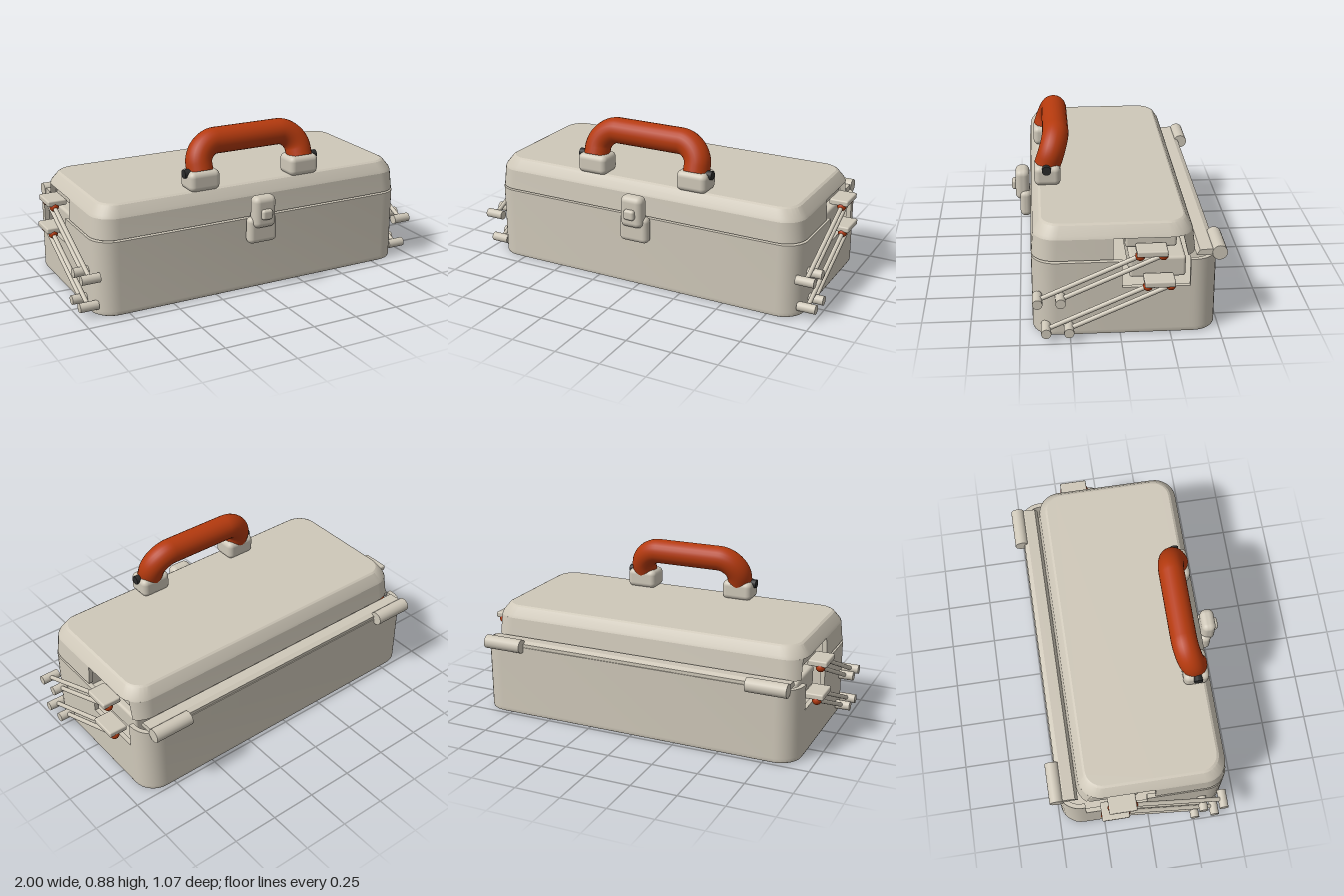
import * as THREE from 'three';
import { toCreasedNormals } from 'three/addons/utils/BufferGeometryUtils.js';
import { RoundedBoxGeometry } from 'three/addons/geometries/RoundedBoxGeometry.js';

const paint = (name, color) => {
  const m = new THREE.MeshStandardMaterial({ color });
  m.name = name;
  return m;
};

// Corner arcs (x, z) running from the +x side round one end to the -x side; dir +1 is the front end
function endArc(hx, z, r, cut, dir, n = 8) {
  const a0 = Math.asin(THREE.MathUtils.clamp((dir * (cut - z) + r) / r, 0, 1));
  const half = [new THREE.Vector2(hx - r + r * Math.cos(a0), cut)];
  for (let i = 0; i <= n; i++) {
    const a = a0 + (Math.PI / 2 - a0) * i / n;
    half.push(new THREE.Vector2(hx - r + r * Math.cos(a), z - dir * r + dir * r * Math.sin(a)));
  }
  return [...half, ...half.map(p => new THREE.Vector2(-p.x, p.y)).reverse()];
}

// U-shaped wall section around one end
const wallSection = (hx, z, r, cut, dir, t) => [
  ...endArc(hx, z, r, cut, dir),
  ...endArc(hx - t, z - dir * t, r - t, cut, dir).reverse(),
];

// Full rounded rectangle
const roundedOutline = (hx, zf, zb, r) => {
  const mid = (zf + zb) / 2;
  return [...endArc(hx, zf, r, mid, 1), ...endArc(hx, zb, r, mid, -1).reverse()];
};

// Closed solid through outlines stacked at rising heights
function loft(rings) {
  const loops = rings.map(([y, pts]) => {
    const p = THREE.ShapeUtils.isClockWise(pts) ? [...pts].reverse() : pts;
    return p.map(v => new THREE.Vector3(v.x, y, v.y));
  });
  const pos = [];
  const tri = (...vs) => vs.forEach(v => pos.push(v.x, v.y, v.z));
  for (let k = 0; k + 1 < loops.length; k++) {
    const lo = loops[k], hi = loops[k + 1];
    lo.forEach((v, i) => {
      const j = (i + 1) % lo.length;
      tri(v, hi[j], lo[j]);
      tri(v, hi[i], hi[j]);
    });
  }
  const cap = (loop, flip) => {
    const flat = loop.map(v => new THREE.Vector2(v.x, v.z));
    for (const [a, b, c] of THREE.ShapeUtils.triangulateShape(flat, [])) {
      if (flip) tri(loop[a], loop[c], loop[b]);
      else tri(loop[a], loop[b], loop[c]);
    }
  };
  cap(loops[0], false);
  cap(loops[loops.length - 1], true);
  const g = new THREE.BufferGeometry();
  g.setAttribute('position', new THREE.Float32BufferAttribute(pos, 3));
  return toCreasedNormals(g, 0.4);
}

export function createModel() {
  const model = new THREE.Group();
  const metal = paint('warm grey metal', 0xcfc8b9);
  const orange = paint('burnt orange', 0xb53a0e);
  const dark = paint('dark pivot', 0x2a2b2b);

  const add = (name, geo, mat, parent = model) => {
    const m = new THREE.Mesh(geo, mat);
    m.name = name;
    parent.add(m);
    return m;
  };
  // Rounded block given by its min and max on each axis
  const block = (name, x0, x1, y0, y1, z0, z1, r) => {
    const m = add(name, new RoundedBoxGeometry(x1 - x0, y1 - y0, z1 - z0, 4, r), metal);
    m.position.set((x0 + x1) / 2, (y0 + y1) / 2, (z0 + z1) / 2);
    return m;
  };
  // Straight rod between two points
  const rod = (name, a, b, r, mat = metal) => {
    const m = add(name, new THREE.CylinderGeometry(r, r, a.distanceTo(b), 20), mat);
    m.position.copy(a).lerp(b, 0.5);
    m.quaternion.setFromUnitVectors(new THREE.Vector3(0, 1, 0), b.clone().sub(a).normalize());
    return m;
  };
  const V = (x, y, z) => new THREE.Vector3(x, y, z);

  // Base: floor, two end walls and low sides between them
  const HX = 0.92, ZF = 0.435, ZB = -0.485, R = 0.12, T = 0.025;
  add('baseFloor', loft([
    [0, roundedOutline(HX - 0.01, ZF - 0.01, ZB + 0.01, R - 0.01)],
    [0.004, roundedOutline(HX - 0.003, ZF - 0.003, ZB + 0.003, R - 0.003)],
    [0.012, roundedOutline(HX, ZF, ZB, R)],
    [0.025, roundedOutline(HX, ZF, ZB, R)],
  ]), metal);
  for (const [name, z, cut, dir] of [['baseFrontWall', ZF, -0.01, 1], ['baseBackWall', ZB, -0.345, -1]]) {
    const pts = wallSection(HX, z, R, cut, dir, T);
    add(name, loft([[0.025, pts], [0.402, pts]]), metal);
  }
  for (const s of [-1, 1]) {
    const side = add('baseSideWall', new THREE.BoxGeometry(T, 0.235, 0.335), metal);
    side.position.set(s * (HX - T / 2), 0.1425, -0.1775);
  }

  // Lid: sloped top over front and back skirts, leaving side openings
  add('lidTop', loft([
    [0.52, roundedOutline(0.907, 0.426, -0.367, 0.12)],
    [0.535, roundedOutline(0.9, 0.42, -0.361, 0.115)],
    [0.578, roundedOutline(0.868, 0.392, -0.333, 0.1)],
    [0.585, roundedOutline(0.855, 0.38, -0.322, 0.09)],
  ]), metal);
  add('lidFrontSkirt', loft([
    [0.412, wallSection(0.916, 0.435, 0.12, 0.035, 1, T)],
    [0.52, wallSection(0.907, 0.426, 0.12, 0.035, 1, T)],
  ]), metal);
  add('lidBackSkirt', loft([
    [0.412, wallSection(0.916, -0.38, 0.12, -0.335, -1, T)],
    [0.52, wallSection(0.907, -0.367, 0.12, -0.31, -1, T)],
  ]), metal);

  // Rear hinge strip and barrels
  const strip = new THREE.Shape([[0.38, 0.4], [0.395, 0.428], [0.455, 0.432], [0.48, 0.42], [0.48, 0.402]]
    .map(p => new THREE.Vector2(...p)));
  const stripMesh = add('hingeStrip',
    new THREE.ExtrudeGeometry(strip, { depth: 1.74, bevelEnabled: false }), metal);
  stripMesh.rotation.y = Math.PI / 2;
  stripMesh.position.x = -0.87;
  stripMesh.geometry.computeVertexNormals();

  // Stacked inner trays
  block('upperTray', -0.87, 0.87, 0.45, 0.525, -0.28, -0.025, 0.015);
  block('lowerTray', -0.87, 0.87, 0.285, 0.395, -0.328, -0.048, 0.015);

  // Parts mirrored on both sides
  for (const s of [-1, 1]) {
    const x = s * 0.95;
    rod('hingeBarrel', V(s * 0.655, 0.412, -0.495), V(s * 0.875, 0.412, -0.495), 0.038);

    // Cantilever linkage: arm pair, base pins, ball pivots and tray bracket
    for (const [py, pz, ty, tz] of [[0.222, 0.41, 0.447, -0.092], [0.057, 0.37, 0.281, -0.132]]) {
      const mid = s * 0.936;
      block('trayBracket', mid - 0.052, mid + 0.052, ty + 0.006, ty + 0.038, tz - 0.133, tz + 0.018, 0.008);
      for (const dz of [0, -0.113]) {
        rod('basePin', V(s * 0.9, py, pz + dz), V(s, py, pz + dz), 0.025);
        rod('linkArm', V(x, py, pz + dz), V(x, ty, tz + dz), 0.012);
        add('armPivot', new THREE.SphereGeometry(0.025, 20, 14), orange).position.set(x, ty, tz + dz);
      }
    }

    // Handle mount and its pivot pin
    const hx = s * 0.298;
    block('handleMount', hx - 0.087, hx + 0.087, 0.578, 0.686, 0.272, 0.41, 0.03);
    rod('handlePivot', V(s * 0.34, 0.67, 0.345), V(s * 0.397, 0.67, 0.345), 0.024, dark);
  }

  // Carrying grip, leaning back
  const grip = new THREE.Group();
  grip.name = 'handleGrip';
  grip.position.set(0, 0.67, 0.34);
  grip.rotation.x = -0.33;
  model.add(grip);
  const path = new THREE.CurvePath();
  const L = 0.3, H = 0.148, C = 0.11;
  path.add(new THREE.LineCurve3(V(-L, 0, 0), V(-L, H - C, 0)));
  path.add(new THREE.CubicBezierCurve3(V(-L, H - C, 0), V(-L, H - C * 0.45, 0), V(-L + C * 0.55, H, 0), V(-L + C, H, 0)));
  path.add(new THREE.LineCurve3(V(-L + C, H, 0), V(L - C, H, 0)));
  path.add(new THREE.CubicBezierCurve3(V(L - C, H, 0), V(L - C * 0.55, H, 0), V(L, H - C * 0.45, 0), V(L, H - C, 0)));
  path.add(new THREE.LineCurve3(V(L, H - C, 0), V(L, 0, 0)));
  add('gripTube', new THREE.TubeGeometry(path, 80, 0.07, 24, false), orange, grip);
  for (const s of [-1, 1]) {
    const end = add('gripEnd', new THREE.CircleGeometry(0.07, 24), orange, grip);
    end.rotation.x = Math.PI / 2;
    end.position.x = s * L;
  }

  // Front latch
  block('latchPlate', -0.085, 0.085, 0.27, 0.418, 0.43, 0.492, 0.028);
  block('latchLever', -0.065, 0.065, 0.36, 0.535, 0.438, 0.516, 0.032);
  block('latchButton', -0.031, 0.031, 0.412, 0.468, 0.48, 0.536, 0.014);

  return model;
}
